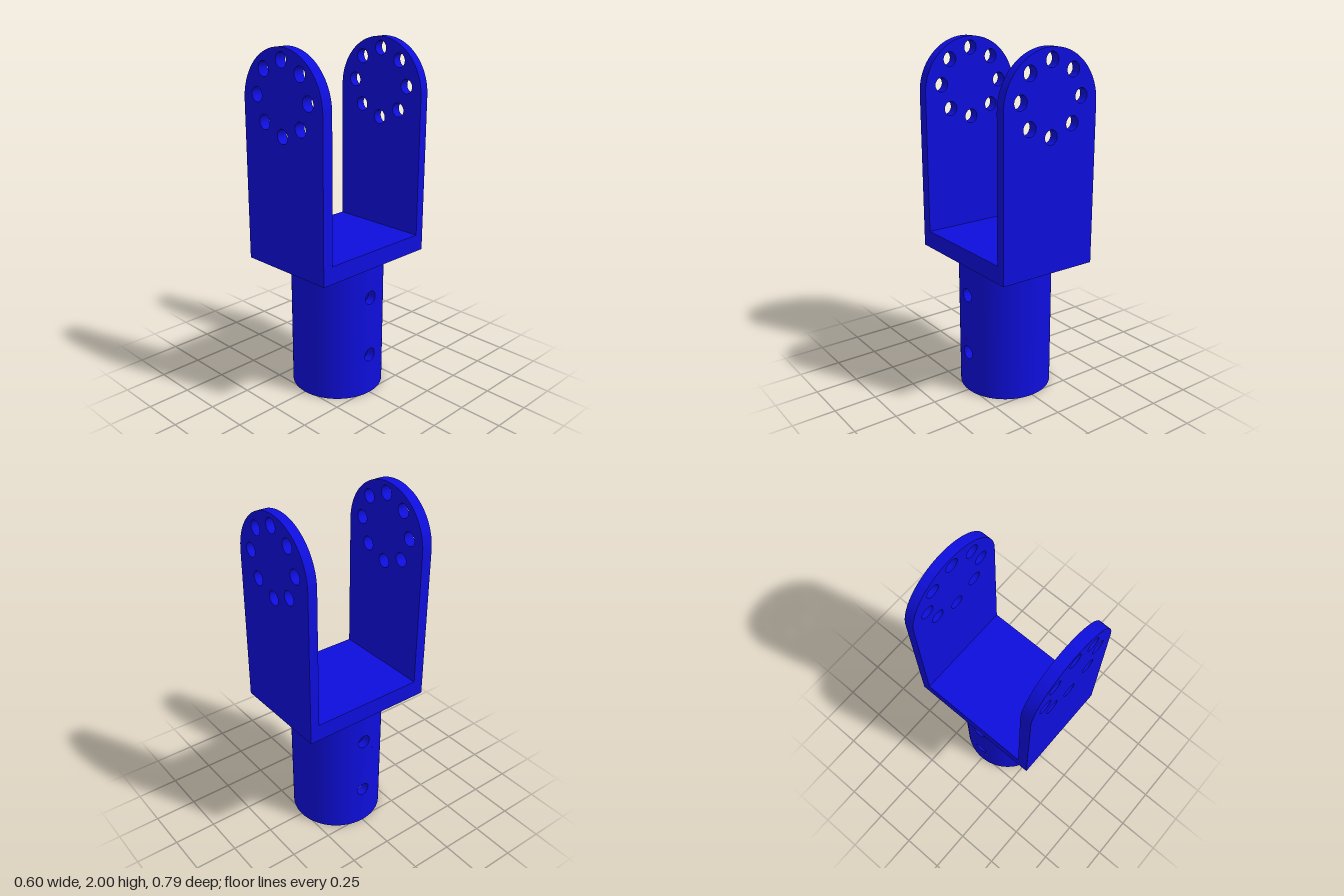
import * as THREE from 'three';
import { toCreasedNormals, mergeGeometries } from 'three/addons/utils/BufferGeometryUtils.js';

const HALF_W = 0.3, HALF_D = 0.395, FLOOR = 0.8, FLOOR_TOP = 0.9;
const OUTER = 0.267, INNER = 0.215;
const PIN_Y = [0.245, 0.605], PIN_R = 0.04, PATCH = 0.08;

// Round-topped plate with a ring of eight holes
function plateGeometry(depth) {
  const shape = new THREE.Shape();
  shape.moveTo(-HALF_W, FLOOR);
  shape.lineTo(HALF_W, FLOOR);
  shape.lineTo(HALF_W, 2 - HALF_W);
  shape.absarc(0, 2 - HALF_W, HALF_W, 0, Math.PI, false);
  shape.closePath();
  for (let i = 0; i < 8; i++) {
    const a = (i * Math.PI) / 4;
    const hole = new THREE.Path();
    hole.absarc(0.195 * Math.cos(a), 1.742 + 0.195 * Math.sin(a), 0.04, 0, Math.PI * 2, true);
    shape.holes.push(hole);
  }
  const geo = new THREE.ExtrudeGeometry(shape, { depth, bevelEnabled: false, curveSegments: 32 });
  return toCreasedNormals(geo, 0.6);
}

// Grid surface from rows of points; point(i, j) returns { p, n }
function gridGeometry(rows, cols, point) {
  const pos = [], nor = [], uv = [], index = [];
  for (let i = 0; i <= rows; i++) {
    for (let j = 0; j <= cols; j++) {
      const { p, n } = point(i / rows, j / cols);
      pos.push(...p);
      nor.push(...n);
      uv.push(j / cols, i / rows);
      if (i < rows && j < cols) {
        const a = i * (cols + 1) + j, b = a + cols + 1;
        index.push(a, b, a + 1, a + 1, b, b + 1);
      }
    }
  }
  const geo = new THREE.BufferGeometry();
  geo.setAttribute('position', new THREE.Float32BufferAttribute(pos, 3));
  geo.setAttribute('normal', new THREE.Float32BufferAttribute(nor, 3));
  geo.setAttribute('uv', new THREE.Float32BufferAttribute(uv, 2));
  geo.setIndex(index);
  return geo;
}

// Curved square of tube wall around a pin hole
function holePatch(radius, y) {
  return gridGeometry(4, 40, (s, t) => {
    const a = t * Math.PI * 2, c = Math.cos(a), d = Math.sin(a);
    const edge = PATCH / Math.max(Math.abs(c), Math.abs(d));
    const r = PIN_R + (edge - PIN_R) * s;
    const z = -r * c, x = Math.sqrt(radius * radius - z * z);
    return { p: [x, y + r * d, z], n: [x / radius, 0, z / radius] };
  });
}

// Short bore joining the outer and inner walls
function holeBore(y) {
  return gridGeometry(1, 40, (s, t) => {
    const a = t * Math.PI * 2, z = -PIN_R * Math.cos(a), v = PIN_R * Math.sin(a);
    const R = s ? INNER : OUTER;
    return { p: [Math.sqrt(R * R - z * z), y + v, z], n: [0, -v / PIN_R, -z / PIN_R] };
  });
}

// Half of a tube wall, facing +x, with its two pin holes
function halfWall(radius) {
  const g = Math.asin(PATCH / radius);
  const panel = (y0, y1, start, length, segments) =>
    new THREE.CylinderGeometry(radius, radius, y1 - y0, segments, 1, true, start, length)
      .translate(0, (y0 + y1) / 2, 0);
  const parts = [panel(0, FLOOR, Math.PI / 2 + g, Math.PI - 2 * g, 40)];
  let y0 = 0;
  for (const y of PIN_Y) {
    parts.push(panel(y0, y - PATCH, Math.PI / 2 - g, 2 * g, 10), holePatch(radius, y));
    y0 = y + PATCH;
  }
  parts.push(panel(y0, FLOOR, Math.PI / 2 - g, 2 * g, 10));
  return mergeGeometries(parts);
}

export function createModel() {
  const color = 0x0e0edd;
  const solid = new THREE.MeshStandardMaterial({ color });
  const wall = new THREE.MeshStandardMaterial({ color, side: THREE.DoubleSide });
  const model = new THREE.Group();
  model.name = 'forkBracket';
  const add = (parent, name, geo, material) => {
    const mesh = new THREE.Mesh(geo, material);
    mesh.name = name;
    parent.add(mesh);
    return mesh;
  };

  // Fork: two plates, the front one slightly thicker, on a solid floor
  const frontIn = 0.332, backIn = -0.341;
  add(model, 'frontPlate', plateGeometry(HALF_D - frontIn), solid).position.z = frontIn;
  add(model, 'backPlate', plateGeometry(HALF_D + backIn), solid).position.z = -HALF_D;
  add(model, 'forkFloor', new THREE.BoxGeometry(HALF_W * 2, FLOOR_TOP - FLOOR, frontIn - backIn), solid)
    .position.set(0, (FLOOR + FLOOR_TOP) / 2, (frontIn + backIn) / 2);

  // Hollow socket tube with cross-drilled pin holes
  const socket = new THREE.Group();
  socket.name = 'socketTube';
  model.add(socket);
  for (const [side, turn] of [['left', 0], ['right', Math.PI]]) {
    add(socket, side + 'OuterWall', halfWall(OUTER), wall).rotation.y = turn;
    add(socket, side + 'InnerWall', halfWall(INNER), wall).rotation.y = turn;
    add(socket, side + 'PinHoles', mergeGeometries(PIN_Y.map(holeBore)), wall).rotation.y = turn;
  }
  add(socket, 'bottomRim', new THREE.RingGeometry(INNER, OUTER, 80).rotateX(Math.PI / 2), solid);

  return model;
}
